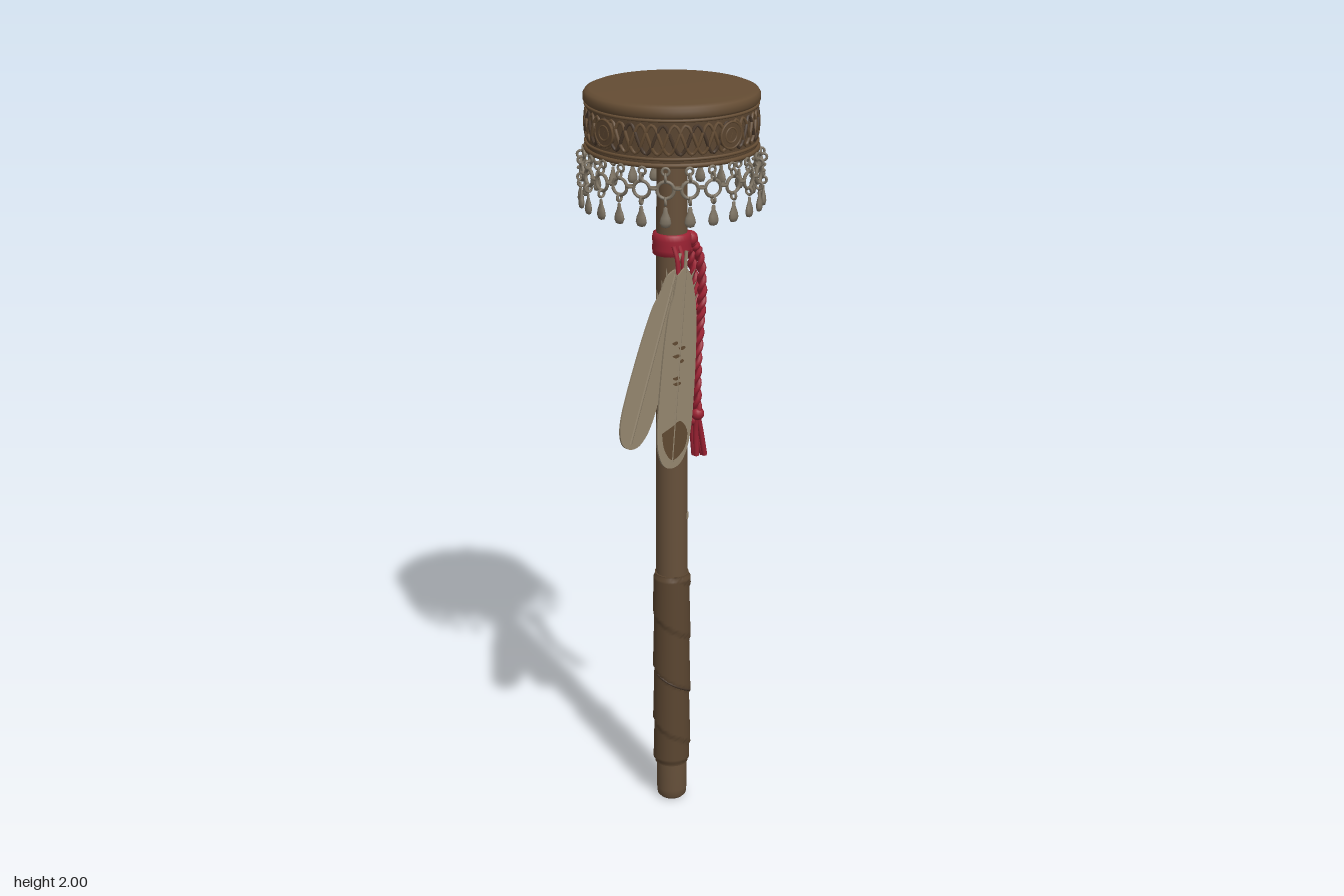
import * as THREE from 'three';

const mat = (name, color, side = THREE.FrontSide) => {
  const m = new THREE.MeshStandardMaterial({ color, side });
  m.name = name;
  return m;
};
const V = (x, y, z) => new THREE.Vector3(x, y, z);

export function createModel() {
  const root = new THREE.Group();
  root.name = 'drumStaff';
  const wood = mat('wood', 0x66503a);
  const hide = mat('drumHide', 0x644c33);
  const leather = mat('gripLeather', 0x5a4530);
  const carved = mat('carvedShadow', 0x49382a);
  const metal = mat('agedMetal', 0x7d7363);
  const red = mat('redCord', 0x9c2233);
  const feather = mat('featherPale', 0x94866f, THREE.DoubleSide);
  const mark = mat('featherBrown', 0x604a32, THREE.DoubleSide);

  const add = (name, geo, material, parent = root) => {
    const m = new THREE.Mesh(geo, material);
    m.name = name;
    parent.add(m);
    return m;
  };
  const lathe = (pts, seg = 48) =>
    new THREE.LatheGeometry(pts.map(p => new THREE.Vector2(p[0], p[1])), seg);
  const tube = (pts, r, seg = 60, closed = false, sides = 8) =>
    new THREE.TubeGeometry(new THREE.CatmullRomCurve3(pts, closed), seg, r, sides, closed);

  // Shaft with rounded butt
  add('shaft', lathe([[0, 0], [0.032, 0.002], [0.039, 0.01], [0.041, 0.03], [0.041, 0.1],
    [0.042, 0.7], [0.041, 1.2], [0.039, 1.86]], 32), wood);

  // Leather grip: overlapping spiral wrap
  const pitch = 0.16;
  const grip = new THREE.CylinderGeometry(0.05, 0.05, 0.57, 40, 90, true);
  const gp = grip.attributes.position;
  for (let i = 0; i < gp.count; i++) {
    const y = gp.getY(i) + 0.395;
    const a = Math.atan2(gp.getX(i), gp.getZ(i));
    const t = (y - 0.345) / pitch + a / (2 * Math.PI);
    const r = 0.0515 - 0.004 * (t - Math.floor(t)) - (y < 0.12 || y > 0.67 ? 0.005 : 0);
    gp.setXYZ(i, Math.sin(a) * r, y, Math.cos(a) * r);
  }
  grip.computeVertexNormals();
  add('grip', grip, leather);
  for (const [y, face] of [[0.11, Math.PI / 2], [0.68, -Math.PI / 2]]) {
    const cap = add('gripEnd', new THREE.CircleGeometry(0.046, 32), leather);
    cap.rotation.x = face;
    cap.position.y = y;
  }
  const seam = [];
  for (let i = 0; i <= 24; i++) {
    const a = -1.6 + i * 0.16;
    seam.push(V(Math.sin(a) * 0.048, 0.345 - pitch * a / (2 * Math.PI), Math.cos(a) * 0.048));
  }
  add('gripSeam', tube(seam, 0.004, 60), carved);

  // Drum body, skin and rims
  add('drumFrame', lathe([[0, 1.842], [0.205, 1.842], [0.214, 1.846], [0.217, 1.86],
    [0.214, 1.868], [0.214, 1.965], [0.217, 1.97]], 72), leather);
  add('drumSkin', lathe([[0.218, 1.966], [0.223, 1.972], [0.223, 1.985], [0.218, 1.994],
    [0.206, 1.999], [0, 2]], 72), hide);
  for (const [y, r] of [[1.85, 0.006], [1.866, 0.004], [1.961, 0.004]]) {
    const rim = add('drumRim', new THREE.TorusGeometry(0.217, r, 8, 96), hide);
    rim.rotation.x = Math.PI / 2;
    rim.position.y = y;
  }

  // Carved interlace around the drum wall
  for (const s of [0, 1, 2]) {
    const pts = [];
    for (let i = 0; i < 192; i++) {
      const a = (i / 192) * Math.PI * 2;
      const w = a * 16 + s * Math.PI * 2 / 3;
      const r = 0.216 + 0.002 * Math.cos(2 * w);
      pts.push(V(Math.sin(a) * r, 1.913 + 0.036 * Math.sin(w), Math.cos(a) * r));
    }
    add('carvedBraid', tube(pts, 0.0045, 384, true, 6), s === 1 ? carved : hide);
  }
  for (let k = 0; k < 4; k++) {
    const g = new THREE.Group();
    g.name = 'medallion';
    g.rotation.y = k * Math.PI / 2;
    root.add(g);
    const disc = add('medallionDisc', new THREE.CylinderGeometry(0.034, 0.034, 0.012, 32), leather, g);
    disc.rotation.x = Math.PI / 2;
    disc.position.set(0, 1.915, 0.216);
    for (const r of [0.033, 0.018])
      add('medallionRing', new THREE.TorusGeometry(r, 0.003, 6, 32), hide, g).position.set(0, 1.915, 0.221);
  }

  // Hanging chain fringe: large rings, cross links and drop charms
  const ring = new THREE.TorusGeometry(0.021, 0.0045, 6, 18);
  const link = new THREE.TorusGeometry(0.009, 0.0035, 6, 12);
  const drop = lathe([[0, -0.026], [0.01, -0.023], [0.0145, -0.013], [0.012, 0],
    [0.006, 0.014], [0.0045, 0.026], [0, 0.028]], 12);
  for (let i = 0; i < 24; i++) {
    const g = new THREE.Group();
    g.name = 'fringeCharm';
    g.rotation.y = i * Math.PI / 12;
    root.add(g);
    add('fringeRing', ring, metal, g).position.set(0, 1.793, 0.229);
    for (const y of [1.824, 1.765]) {
      const l = add('fringeLink', link, metal, g);
      l.position.set(0, y, 0.231);
      l.rotation.y = Math.PI / 2;
    }
    add('fringeTopLink', link, metal, g).position.set(0, 1.838, 0.224);
    const d = add('fringeDrop', drop, metal, g);
    d.position.set(0, 1.724, 0.232);
    d.scale.z = 0.55;
    const side = new THREE.Group();
    side.name = 'sideLink';
    side.rotation.y = Math.PI / 24;
    g.add(side);
    const s = add('fringeSideLink', link, metal, side);
    s.position.set(0, 1.797, 0.228);
    s.rotation.x = Math.PI / 2;
  }

  // Red binding around the shaft
  add('binding', lathe([[0.041, 1.568], [0.049, 1.57], [0.051, 1.585], [0.049, 1.597],
    [0.051, 1.61], [0.048, 1.624], [0.039, 1.626]], 32), red);
  const knotAt = (x, y, z, r) => add('cordKnot', new THREE.SphereGeometry(r, 14, 10), red).position.set(x, y, z);
  knotAt(0.058, 1.598, 0.005, 0.021);

  // Two twisted cords, each with a knot and tassel
  for (const [dz, end] of [[0.018, 1.115], [-0.012, 1.095]]) {
    const path = new THREE.CatmullRomCurve3([V(0.056, 1.602, 0.005), V(0.074, 1.565, dz),
      V(0.089, 1.46, dz), V(0.083, 1.36, dz * 0.9), V(0.072, 1.24, dz), V(0.08, end, dz * 0.6)]);
    for (const phase of [0, Math.PI]) {
      const pts = [];
      for (let i = 0; i <= 90; i++) {
        const p = path.getPoint(i / 90), w = i * 0.62 + phase;
        pts.push(V(p.x + 0.006 * Math.cos(w), p.y, p.z + 0.006 * Math.sin(w)));
      }
      add('cordStrand', tube(pts, 0.0075, 150, false, 6), red);
    }
    knotAt(0.081, end, dz * 0.6, 0.018);
    for (const s of [-1, 1])
      add('cordTassel', tube([V(0.081, end, dz * 0.6), V(0.087 + s * 0.005, end - 0.05, dz * 0.4 + s * 0.004),
        V(0.097 + s * 0.01, 0.992, dz * 0.3 + s * 0.005)], 0.0075, 16), red);
  }

  // Feathers: curved vane, quill and painted spots on both faces
  const shapeOf = pts => {
    const s = new THREE.Shape();
    s.moveTo(...pts[0]);
    s.splineThru(pts.slice(1).concat([pts[0]]).map(p => new THREE.Vector2(...p)));
    return s;
  };
  const makeFeather = (x, y, z, tilt, len, width, spots) => {
    const g = new THREE.Group();
    g.name = 'feather';
    g.position.set(x, y, z);
    g.rotation.z = tilt;
    root.add(g);
    const w = width / 2;
    const outline = [[0, 0], [-w * 0.45, -len * 0.05], [-w * 0.6, -len * 0.14], [-w * 0.85, -len * 0.25],
      [-w, -len * 0.5], [-w, -len * 0.82], [-w * 0.65, -len * 0.96], [0, -len], [w * 0.65, -len * 0.96],
      [w, -len * 0.82], [w, -len * 0.5], [w * 0.8, -len * 0.22], [w * 0.4, -len * 0.06]];
    add('featherVane', new THREE.ExtrudeGeometry(shapeOf(outline),
      { depth: 0.005, bevelEnabled: false, curveSegments: 40 }), feather, g);
    add('featherQuill', tube([V(0, 0.04, 0.0025), V(0, -len * 0.5, 0.0025), V(0, -len * 0.97, 0.0025)],
      0.0045, 20), feather, g);
    // small barbs near the root
    for (const s of [-1, 1]) for (let i = 0; i < 3; i++) {
      const b = add('featherBarb', new THREE.ConeGeometry(0.008, 0.045, 4), feather, g);
      b.scale.z = 0.3;
      b.position.set(s * w * (0.45 + i * 0.12), -len * (0.05 + i * 0.06), 0.0025);
      b.rotation.z = -s * 0.5;
    }
    for (const [pts, faces] of spots) for (const f of faces) {
      add('featherSpot', new THREE.ShapeGeometry(shapeOf(pts), 8), mark, g).position.z = f > 0 ? 0.0062 : -0.0012;
    }
  };
  const blob = (cx, cy, rx, ry) => [[cx - rx, cy + ry * 0.5], [cx - rx * 0.3, cy + ry * 0.75], [cx + rx * 0.4, cy + ry],
    [cx + rx, cy + ry * 0.4], [cx + rx * 0.85, cy - ry * 0.5], [cx, cy - ry], [cx - rx * 0.7, cy - ry * 0.4]];
  makeFeather(-0.03, 1.545, 0.05, -0.345, 0.48, 0.11,
    [[blob(0.01, -0.27, 0.03, 0.045), [-1]], [blob(0.0, -0.4, 0.035, 0.04), [-1]]]);
  const dashes = [];
  for (const [cx, cy, rx] of [[-0.02, -0.2, 0.01], [0.005, -0.215, 0.012], [-0.012, -0.235, 0.014],
    [0.006, -0.25, 0.008], [-0.008, -0.295, 0.012], [-0.004, -0.31, 0.014]])
    dashes.push([blob(cx, cy, rx, 0.005), [1]]);
  makeFeather(-0.012, 1.55, 0.064, -0.09, 0.54, 0.115,
    [[blob(0.0, -0.465, 0.044, 0.052), [1, -1]], [blob(-0.01, -0.3, 0.03, 0.04), [-1]], ...dashes]);
  // Ties holding the feathers to the binding
  for (const x of [-0.03, -0.012])
    add('featherTie', tube([V(x, 1.6, 0.042), V(x, 1.57, 0.055), V(x, 1.53, 0.06)], 0.006, 12), red);

  // Small pale nick on the shaft
  const nick = add('shaftNick', new THREE.BoxGeometry(0.014, 0.016, 0.004), feather);
  nick.position.set(0.028, 0.845, 0.0315);
  nick.rotation.y = 0.73;

  return root;
}
